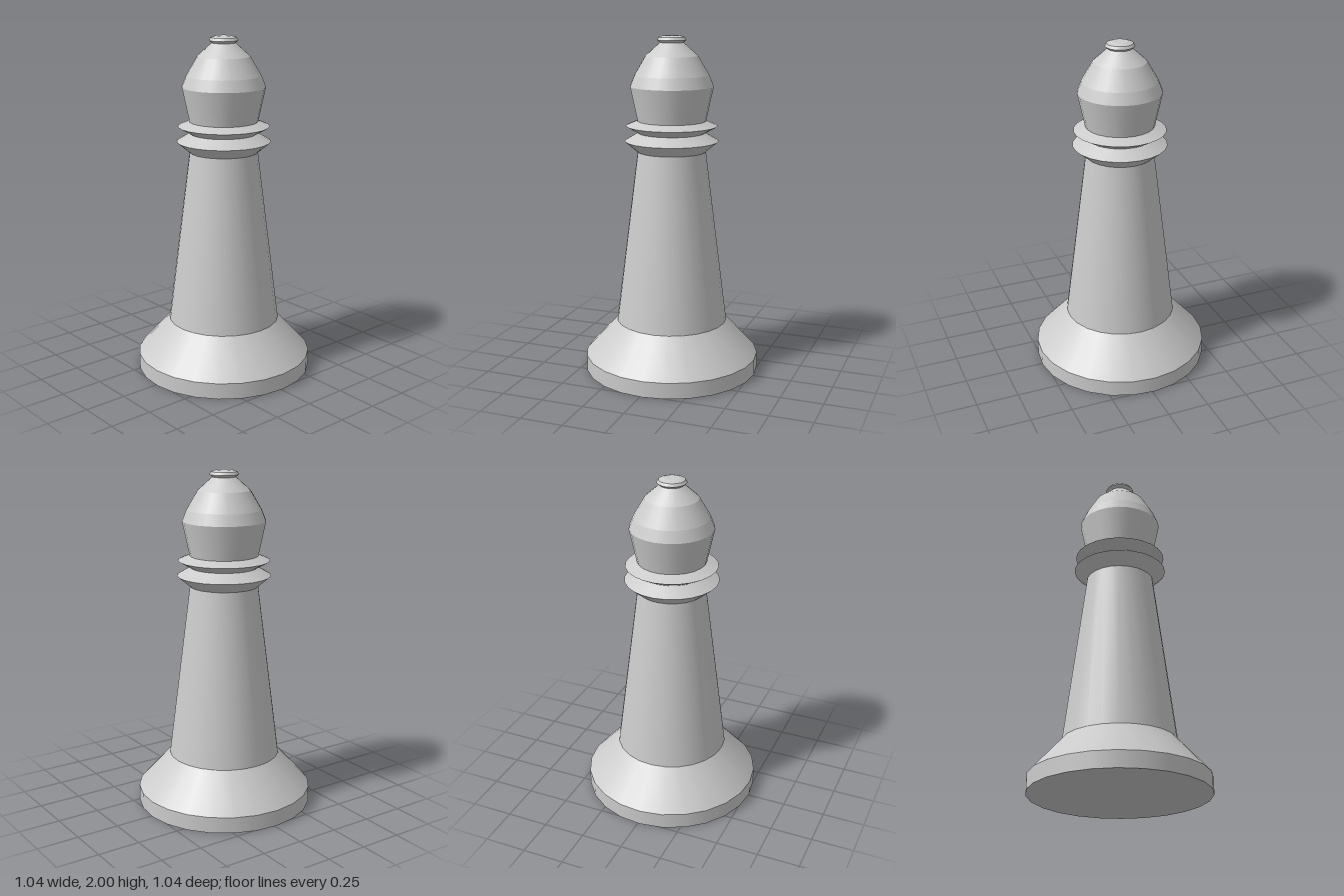
import * as THREE from 'three';
import { mergeGeometries } from 'three/addons/utils/BufferGeometryUtils.js';

const SIDES = 24;
const material = new THREE.MeshStandardMaterial({ color: 0xcccccc });

// Turned part: smooth around the axis, with a crisp edge at every profile point.
function turned(name, profile) {
  const points = profile.map(([r, y]) => new THREE.Vector2(r, y));
  const bands = [];
  for (let i = 0; i < points.length - 1; i++) {
    bands.push(new THREE.LatheGeometry([points[i], points[i + 1]], SIDES));
  }
  const mesh = new THREE.Mesh(mergeGeometries(bands), material);
  mesh.name = name;
  return mesh;
}

export function createModel() {
  const group = new THREE.Group();
  group.name = 'chessPiece';

  group.add(
    // Flat-bottomed foot with a sloping shoulder
    turned('base', [[0, 0], [0.52, 0], [0.52, 0.095], [0.33, 0.305]]),
    // Tapering stem
    turned('shaft', [[0.33, 0.305], [0.2, 1.33]]),
    // Two sharp-edged rings below the head
    turned('lowerCollar', [[0.2, 1.33], [0.275, 1.393], [0.195, 1.44]]),
    turned('upperCollar', [[0.195, 1.44], [0.268, 1.482], [0.2, 1.51]]),
    // Flared head closing into a dome
    turned('head', [[0.2, 1.51], [0.243, 1.71], [0.217, 1.775], [0.152, 1.885], [0.068, 1.96]]),
    // Small button on top
    turned('finial', [[0.068, 1.96], [0.085, 1.974], [0.075, 1.99], [0.045, 2], [0, 2]])
  );

  // Slight turn of the facets about the axis
  group.rotation.y = 0.027;
  return group;
}
